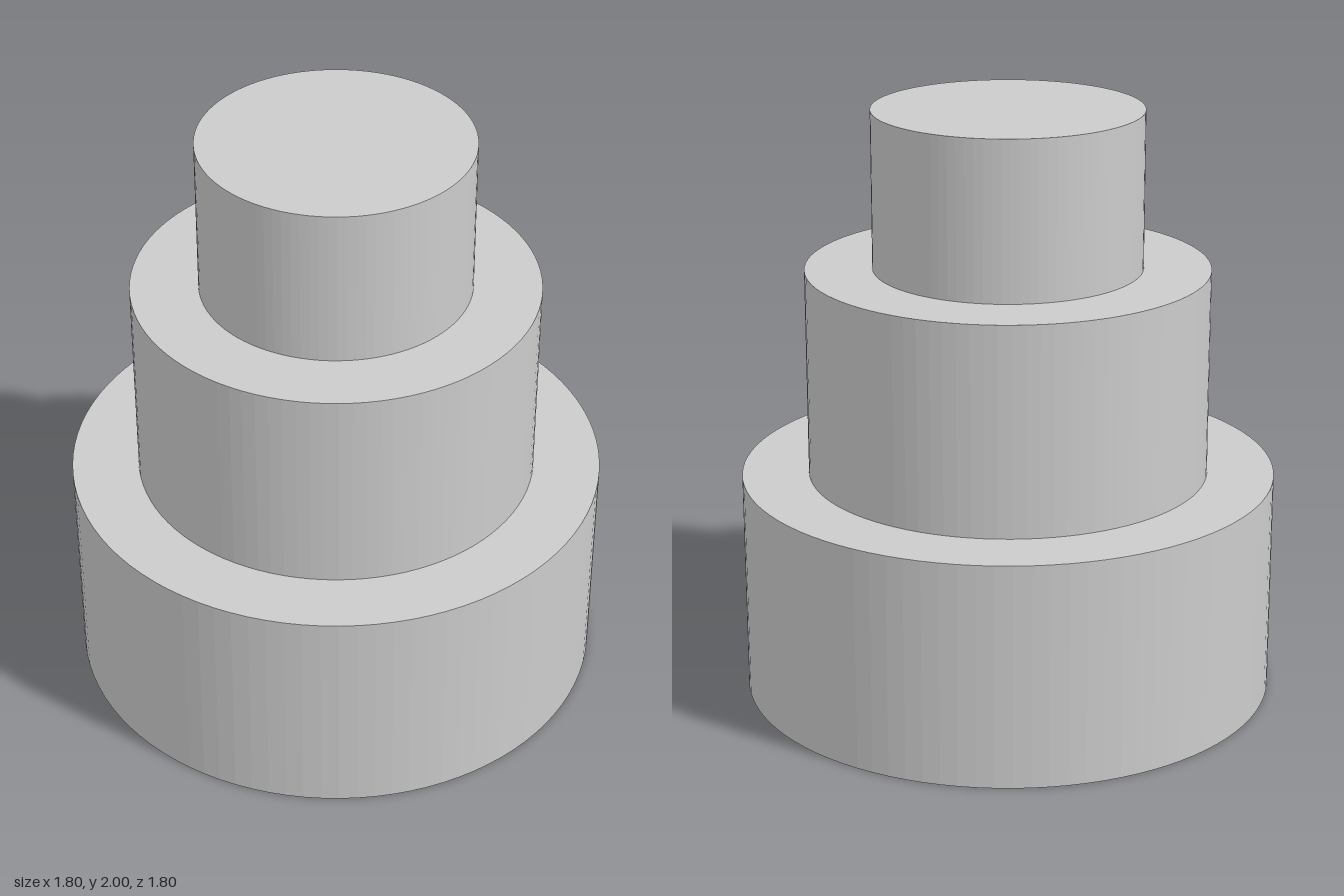
import * as THREE from 'three';

export function createModel() {
  const group = new THREE.Group();
  group.name = 'tieredCake';
  const material = new THREE.MeshStandardMaterial({ color: 0xcccccc, flatShading: true });

  // Three round tiers stacked from the ground up
  const tiers = [
    { name: 'bottomTier', radius: 0.9, bottom: 0, top: 0.76 },
    { name: 'middleTier', radius: 0.675, bottom: 0.76, top: 1.467 },
    { name: 'topTier', radius: 0.45, bottom: 1.467, top: 2 },
  ];
  for (const { name, radius, bottom, top } of tiers) {
    const tier = new THREE.Mesh(new THREE.CylinderGeometry(radius, radius, top - bottom, 96), material);
    tier.name = name;
    tier.position.y = (bottom + top) / 2;
    group.add(tier);
  }
  return group;
}
